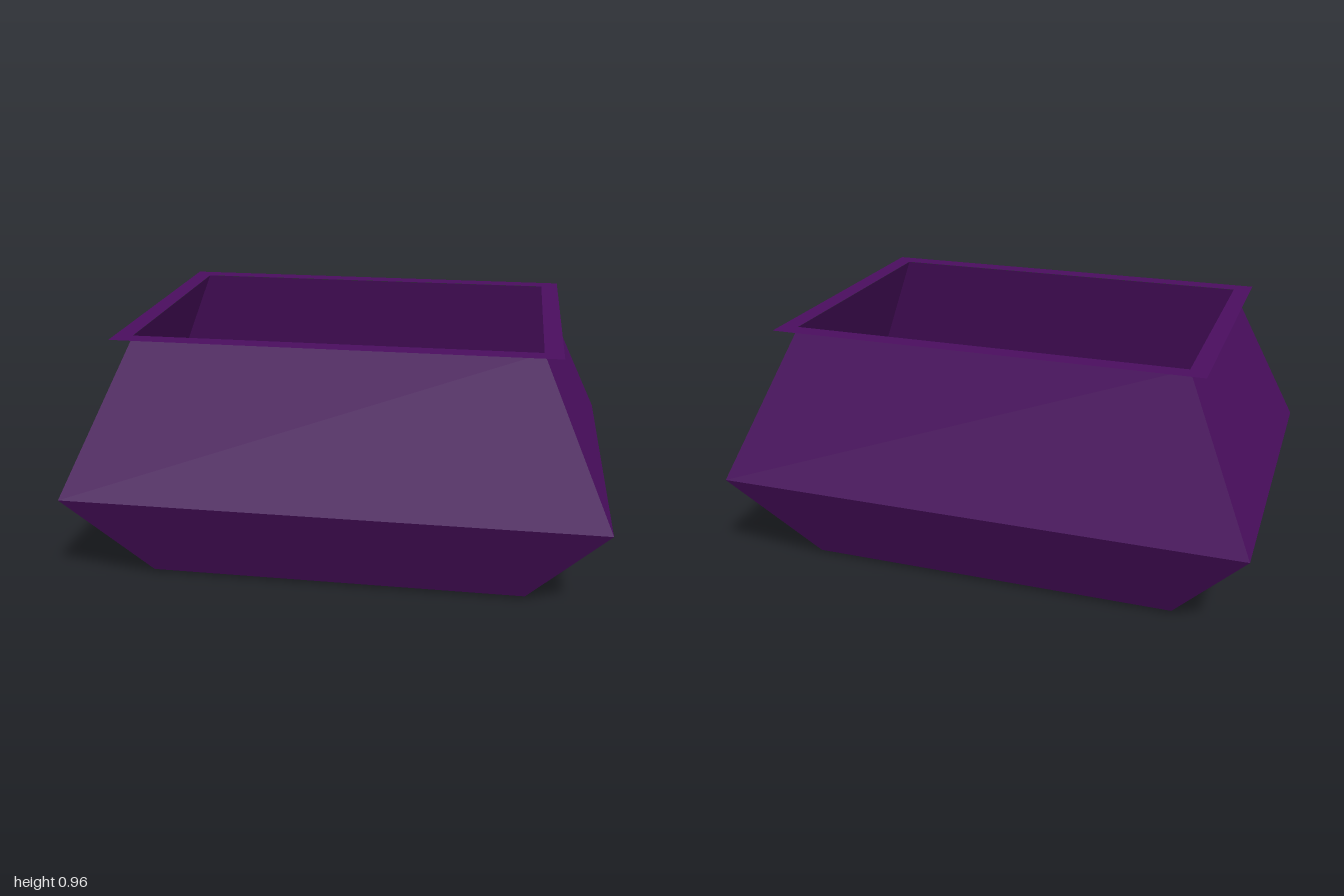
import * as THREE from 'three';

const mat = (name, color, side = THREE.FrontSide) => {
  const m = new THREE.MeshStandardMaterial({ color, side });
  m.name = name;
  return m;
};

// Joins rectangular rings [halfWidth, y, halfDepth], listed bottom to top, with flat faces.
function loft(rings) {
  const corner = ([w, y, d], i) => [[-w, y, d], [w, y, d], [w, y, -d], [-w, y, -d]][i % 4];
  const pos = [];
  for (let r = 0; r < rings.length - 1; r++) {
    for (let i = 0; i < 4; i++) {
      const a = corner(rings[r], i), b = corner(rings[r], i + 1);
      const c = corner(rings[r + 1], i + 1), d = corner(rings[r + 1], i);
      pos.push(...a, ...b, ...c, ...a, ...c, ...d);
    }
  }
  const g = new THREE.BufferGeometry();
  g.setAttribute('position', new THREE.Float32BufferAttribute(pos, 3));
  g.computeVertexNormals();
  return g;
}

export function createModel() {
  const group = new THREE.Group();
  const purple = mat('purple', 0x4a0e5f, THREE.DoubleSide);
  const red = mat('dark red', 0x600d0d, THREE.DoubleSide);
  const gold = mat('gold', 0xd6ae0e, THREE.DoubleSide);
  const black = mat('black', 0x0a0a0a);

  const add = (name, geometry, material, x = 0, y = 0, z = 0) => {
    const mesh = new THREE.Mesh(geometry, material);
    mesh.name = name;
    mesh.position.set(x, y, z);
    group.add(mesh);
    return mesh;
  };
  const sheet = (w, d) => new THREE.PlaneGeometry(w, d).rotateX(-Math.PI / 2);

  // Open body: flares out to the waist, then narrows to the mouth
  add('body', loft([[0.718, 0.015, 0.497], [1, 0.375, 0.686], [0.733, 0.963, 0.505]]), purple);

  // Flat lip around the mouth
  add('rim', loft([[0.8, 0.964, 0.573], [0.733, 0.964, 0.505]]), purple);

  // Floor with a gold panel on it and the panel's edge showing underneath
  add('floor', sheet(1.436, 0.994), red, 0, 0.015);
  add('panelEdge', loft([[0.66, 0, 0.429], [0.66, 0.025, 0.429]]), gold);
  add('panel', sheet(1.32, 0.858), gold, 0, 0.025);

  // Arched handles at both ends of the panel
  for (const side of [-1, 1]) {
    const arch = new THREE.TorusGeometry(0.14, 0.011, 8, 24, Math.PI).rotateY(Math.PI / 2);
    add(side > 0 ? 'leftHandle' : 'rightHandle', arch, black, side * 0.623, 0.025, 0.04);
  }
  return group;
}
